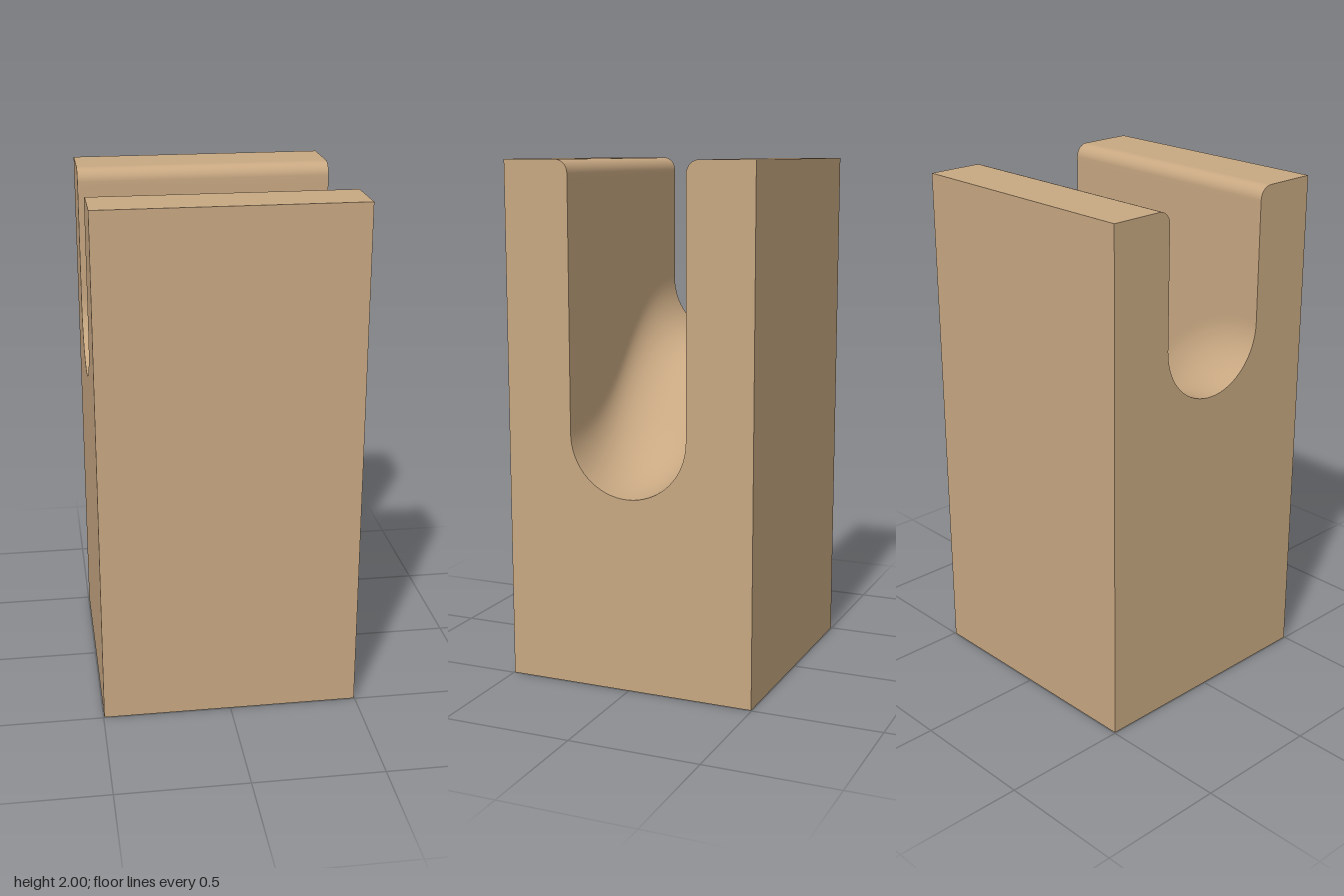
import * as THREE from 'three';

const HALF = 0.497, TOP = 2, SLOT = 0.235, FILLET = 0.05;

// Slot cross-section as [z, y] points, from the front rim to the back rim
function slotProfile(floorY) {
  const front = [];
  for (let i = 0; i <= 8; i++) {
    const a = (i / 8) * Math.PI / 2;
    front.push([SLOT + FILLET - FILLET * Math.sin(a), TOP - FILLET + FILLET * Math.cos(a)]);
  }
  const wallTop = TOP - FILLET, wallBottom = floorY + SLOT;
  for (const t of [0.03, 0.5, 0.97]) front.push([SLOT, wallTop + (wallBottom - wallTop) * t]);
  for (let i = 0; i <= 16; i++) {
    const a = (i / 16) * Math.PI / 2;
    front.push([SLOT * Math.cos(a), wallBottom - SLOT * Math.sin(a)]);
  }
  const back = front.slice(0, -1).reverse().map(([z, y]) => [-z, y]);
  return [...front, ...back];
}

export function createModel() {
  const group = new THREE.Group();
  const tan = new THREE.MeshStandardMaterial({ color: 0xc8a882 });
  tan.name = 'tan';
  const add = (name, geometry) => {
    const mesh = new THREE.Mesh(geometry, tan);
    mesh.name = name;
    group.add(mesh);
    return mesh;
  };

  // Slot floor follows an S-curve, high on one side and low on the other
  const floorCurve = new THREE.CubicBezierCurve(
    new THREE.Vector2(-HALF, 1.25), new THREE.Vector2(0, 1.25),
    new THREE.Vector2(0, 0.75), new THREE.Vector2(HALF, 0.75));
  const positions = [], index = [];
  const stations = floorCurve.getPoints(48);
  const n = slotProfile(1).length;
  stations.forEach((p, i) => {
    slotProfile(p.y).forEach(([z, y], j) => {
      positions.push(p.x, y, z);
      if (i < stations.length - 1 && j < n - 1) {
        const a = i * n + j, b = a + n;
        index.push(a, b, a + 1, b, b + 1, a + 1);
      }
    });
  });
  const slot = new THREE.BufferGeometry();
  slot.setAttribute('position', new THREE.Float32BufferAttribute(positions, 3));
  slot.setIndex(index);
  slot.computeVertexNormals();
  add('slotSurface', slot);

  // Slotted side faces
  for (const [name, side, floorY] of [['leftFace', 1, 0.75], ['rightFace', -1, 1.25]]) {
    const outline = [[-HALF, 0], [HALF, 0], [HALF, TOP], ...slotProfile(floorY), [-HALF, TOP]];
    const shape = new THREE.Shape(outline.map(([z, y]) => new THREE.Vector2(z, y)));
    const face = add(name, new THREE.ShapeGeometry(shape).rotateY(side * Math.PI / 2));
    face.position.x = side * HALF;
  }

  // Plain front and back faces, and the flat top of each prong
  const ledge = HALF - SLOT - FILLET;
  for (const [name, side] of [['front', 1], ['back', -1]]) {
    const face = add(name + 'Face', new THREE.PlaneGeometry(2 * HALF, TOP));
    face.position.set(0, TOP / 2, side * HALF);
    if (side < 0) face.rotation.y = Math.PI;
    const top = add(name + 'ProngTop', new THREE.PlaneGeometry(2 * HALF, ledge).rotateX(-Math.PI / 2));
    top.position.set(0, TOP, side * (HALF - ledge / 2));
  }

  // Underside
  add('underside', new THREE.PlaneGeometry(2 * HALF, 2 * HALF).rotateX(Math.PI / 2));
  return group;
}
